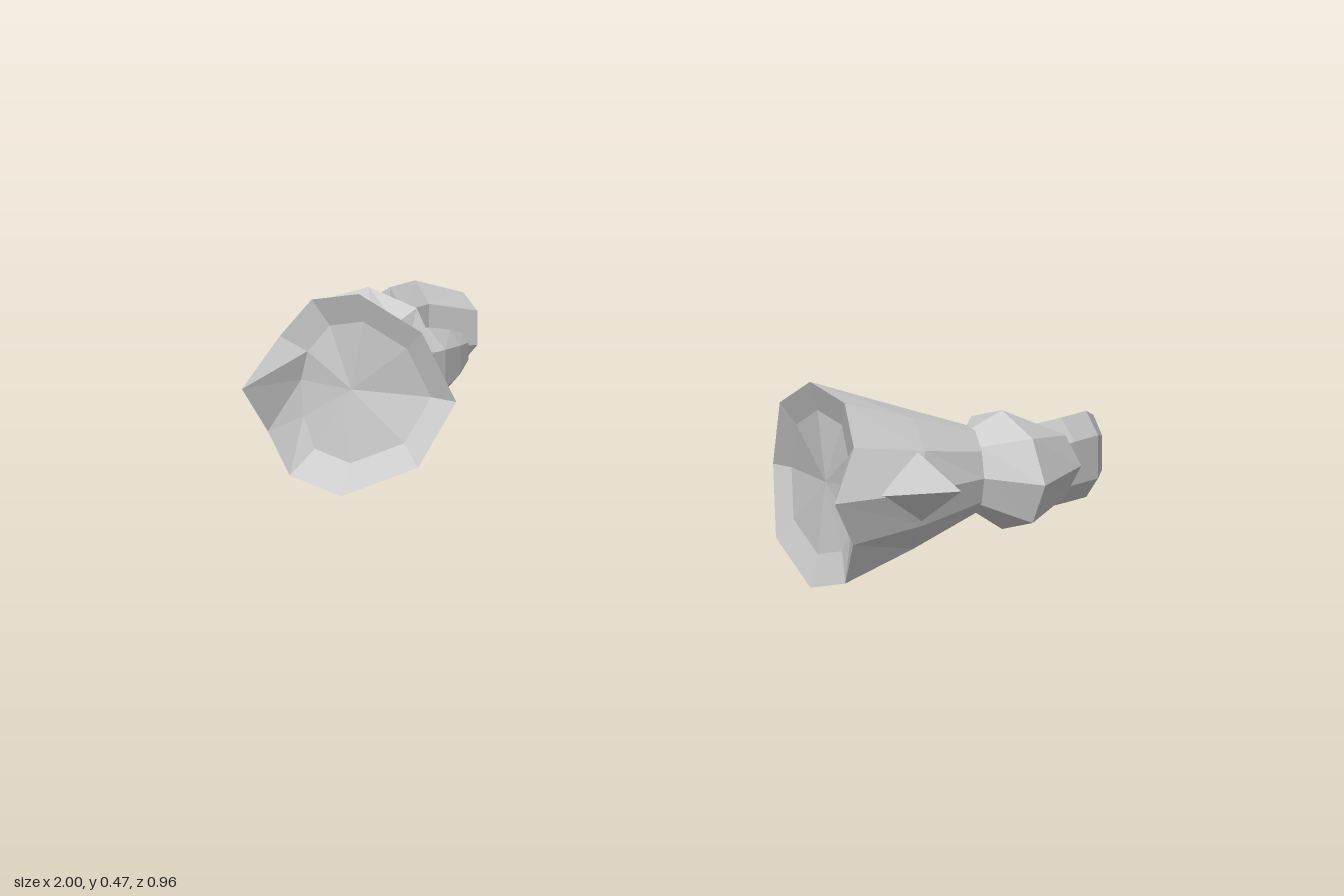
import * as THREE from 'three';

const material = new THREE.MeshStandardMaterial({ color: 0xcccccc, flatShading: true, side: THREE.DoubleSide });

// Elliptical cross-section, counter-clockwise seen from +z; shear tilts it along z
function ring(cx, cy, cz, rx, ry, shear, n, start = 0) {
  return Array.from({ length: n }, (_, i) => {
    const a = start + (i / n) * Math.PI * 2;
    return [cx + rx * Math.cos(a), cy + ry * Math.sin(a), cz + shear * Math.cos(a)];
  });
}

const middle = (pts) => [0, 1, 2].map((k) => pts.reduce((s, p) => s + p[k], 0) / pts.length);
const lerp = (a, b, t) => a.map((v, k) => v + (b[k] - v) * t);

// Triangles joining rings from front to back, with closed ends
function loft(rings) {
  const tris = [];
  const n = rings[0].length;
  const first = rings[0], last = rings[rings.length - 1];
  const cf = middle(first), cb = middle(last);
  for (let i = 0; i < n; i++) {
    const j = (i + 1) % n;
    tris.push([cf, first[i], first[j]], [cb, last[j], last[i]]);
    for (let r = 0; r < rings.length - 1; r++) {
      const a = rings[r], b = rings[r + 1];
      tris.push([a[i], b[i], a[j]], [a[j], b[i], b[j]]);
    }
  }
  return tris;
}

// Mesh from triangles; side -1 mirrors x and flips the winding
function part(name, tris, side) {
  const pos = [];
  for (const [a, b, c] of tris) {
    for (const p of side > 0 ? [a, b, c] : [a, c, b]) pos.push(p[0] * side, p[1], p[2]);
  }
  const g = new THREE.BufferGeometry();
  g.setAttribute('position', new THREE.Float32BufferAttribute(pos, 3));
  g.computeVertexNormals();
  const mesh = new THREE.Mesh(g, material);
  mesh.name = name;
  return mesh;
}

// Flared sleeve: irregular rim with a forward point, narrowing to the wrist
function sleeve() {
  const rim = [
    [0.795, 0.258, 0.483], [0.77, 0.357, 0.37], [0.715, 0.44, 0.325], [0.605, 0.465, 0.3], [0.48, 0.38, 0.235],
    [0.425, 0.215, 0.18], [0.48, 0.07, 0.25], [0.63, 0, 0.335], [0.745, 0.037, 0.367], [0.785, 0.14, 0.395],
  ];
  const wrist = ring(0.805, 0.21, -0.045, 0.065, 0.1, 0.045, 10);
  const mid = rim.map((p, i) => {
    const q = lerp(p, wrist[i], 0.5);
    q[0] += 0.025 * Math.cos((i / 10) * Math.PI * 2);
    return q;
  });
  // Shallow hollow inside the rim
  const centre = [0.62, 0.23, 0.27];
  const hollow = rim.map((p) => lerp(centre, [p[0], p[1], Math.min(p[2], 0.37) - 0.02], 0.7));
  return loft([hollow, rim, mid, wrist]);
}

// Four-sided spike on the outer side of the sleeve
function spike() {
  const tip = [0.93, 0.235, 0.18];
  const base = [[0.815, 0.25, 0.37], [0.815, 0.135, 0.215], [0.86, 0.228, 0.13], [0.815, 0.325, 0.205]];
  return base.map((p, i) => [tip, p, base[(i + 1) % 4]]);
}

function hand() {
  return loft([
    ring(0.805, 0.21, -0.045, 0.065, 0.095, 0.045, 8),
    ring(0.85, 0.203, -0.1, 0.15, 0.138, 0.05, 8),
    ring(0.855, 0.19, -0.19, 0.1, 0.1, -0.07, 8),
  ]);
}

function fingers() {
  const s = Math.PI / 6;
  return loft([
    ring(0.88, 0.195, -0.16, 0.06, 0.1, 0, 6, s),
    ring(0.9, 0.192, -0.26, 0.042, 0.1, 0, 6, s),
    ring(0.9, 0.183, -0.36, 0.04, 0.1, 0.005, 6, s),
    ring(0.845, 0.157, -0.47, 0.035, 0.08, 0.012, 6, s),
  ]);
}

function thumb() {
  const s = Math.PI / 6;
  return loft([
    ring(0.79, 0.15, -0.13, 0.06, 0.075, 0, 6, s),
    ring(0.785, 0.135, -0.24, 0.055, 0.088, 0, 6, s),
    ring(0.787, 0.13, -0.33, 0.033, 0.065, 0, 6, s),
    ring(0.796, 0.13, -0.395, 0.018, 0.04, 0, 6, s),
  ]);
}

export function createModel() {
  const model = new THREE.Group();
  model.name = 'gauntlets';
  const parts = { sleeve, sleeveSpike: spike, hand, fingers, thumb };
  for (const side of [1, -1]) {
    const arm = new THREE.Group();
    arm.name = side > 0 ? 'leftGauntlet' : 'rightGauntlet';
    for (const [name, build] of Object.entries(parts)) arm.add(part(name, build(), side));
    model.add(arm);
  }
  return model;
}
